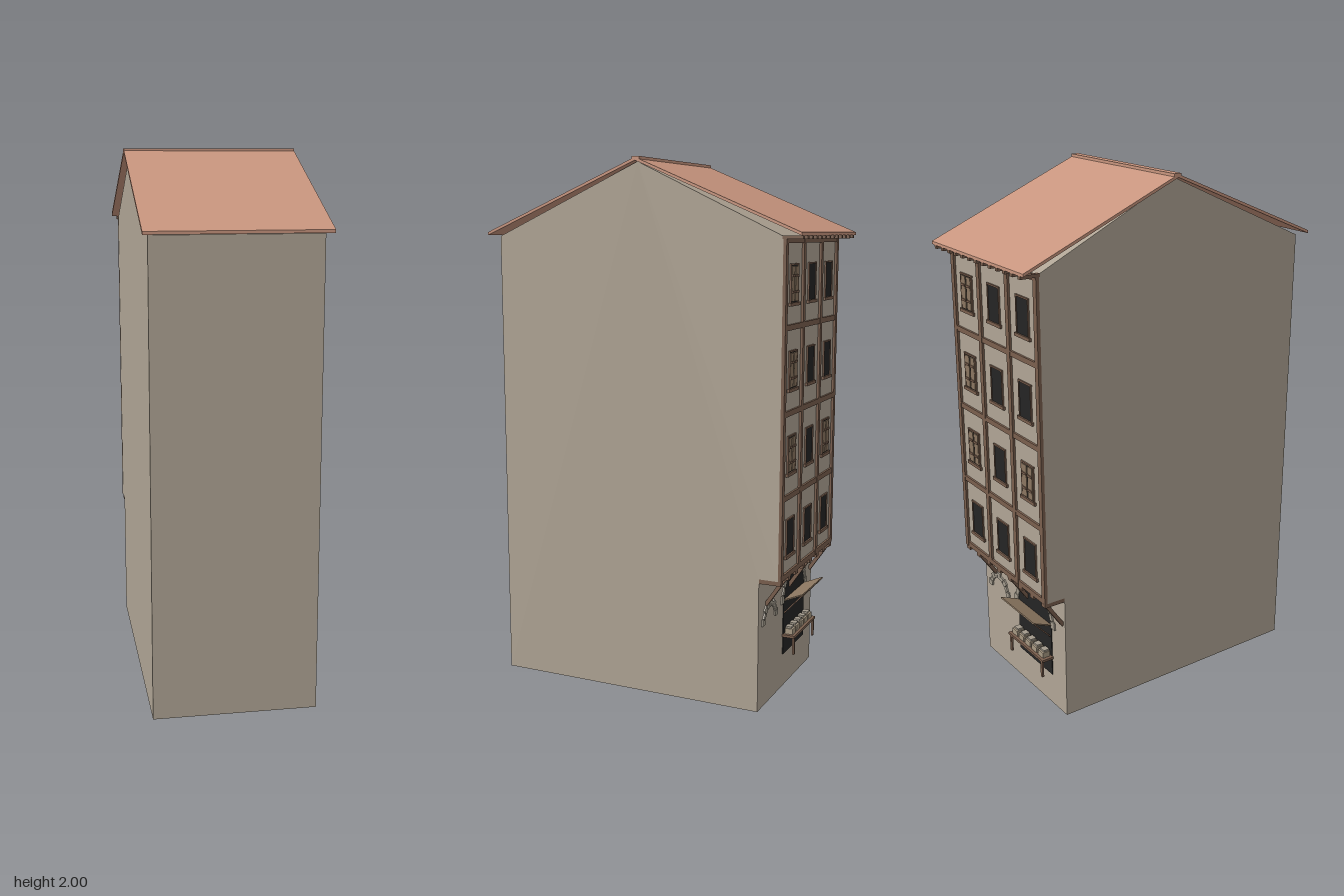
import * as THREE from 'three';

const mat = (name, color) => {
  const m = new THREE.MeshStandardMaterial({ color });
  m.name = name;
  return m;
};

export function createModel() {
  const root = new THREE.Group();
  root.name = 'townHouse';
  const wall = mat('plaster', 0xb0a595);
  const tile = mat('roofTile', 0xc8957e);
  const wood = mat('timber', 0x7a5f4e);
  const plank = mat('plank', 0x8b7660);
  const dark = mat('darkOpening', 0x242424);
  const stone = mat('stone', 0xa29a8c);
  const goods = mat('goods', 0xa89a84);

  const add = (name, geo, material, parent = root) => {
    const m = new THREE.Mesh(geo, material);
    m.name = name;
    parent.add(m);
    return m;
  };
  const box = (name, w, h, d, x, y, z, material, parent) => {
    const m = add(name, new THREE.BoxGeometry(w, h, d), material, parent);
    m.position.set(x, y, z);
    return m;
  };
  // Extrudes a side profile of [z, y] points across the width
  const sideExtrude = (name, pts, halfWidth, material) => {
    const shape = new THREE.Shape(pts.map(p => new THREE.Vector2(p[0], p[1])));
    const geo = new THREE.ExtrudeGeometry(shape, { depth: halfWidth * 2, bevelEnabled: false });
    geo.translate(0, 0, -halfWidth);
    geo.rotateY(-Math.PI / 2);
    return add(name, geo, material);
  };
  // Square bar between two [z, y] points at a given x
  const bar = (name, x, a, b, w, t, material, parent) => {
    const dz = b[0] - a[0], dy = b[1] - a[1];
    const m = box(name, w, t, Math.hypot(dz, dy), x, (a[1] + b[1]) / 2, (a[0] + b[0]) / 2, material, parent);
    m.rotation.x = -Math.atan2(dy, dz);
    return m;
  };

  // Body with the jettied upper floors
  const faceZ = -0.556, shopZ = -0.48;
  sideExtrude('body', [[0.585, 0], [0.585, 1.72], [0, 1.983], [faceZ, 1.72],
    [faceZ, 0.505], [shopZ, 0.505], [shopZ, 0]], 0.3, wall);

  // Roof, ridge and eave rafters
  sideExtrude('roof', [[0.627, 1.724], [0.627, 1.735], [0, 1.997], [-0.625, 1.735],
    [-0.625, 1.724], [0, 1.986]], 0.322, tile);
  box('ridgeCap', 0.644, 0.014, 0.03, 0, 1.993, -0.003, tile);
  for (let i = 0; i < 13; i++) {
    box('rafterTail', 0.016, 0.012, 0.075, -0.294 + i * 0.049, 1.718, -0.587, wood);
  }

  // Timber frame of the facade
  const frame = new THREE.Group();
  frame.name = 'timberFrame';
  root.add(frame);
  for (const x of [-0.29, -0.1, 0.1, 0.29]) {
    box('post', 0.022, 1.215, 0.012, x, 1.1125, faceZ - 0.003, wood, frame);
  }
  for (const y of [0.513, 0.802, 1.105, 1.408, 1.708]) {
    box('rail', 0.602, 0.02, 0.01, 0, y, faceZ - 0.003, wood, frame);
  }

  // Windows, some with closed shutters
  [0.65, 0.953, 1.256, 1.558].forEach((y, row) => {
    [0.197, 0, -0.197].forEach((x, col) => {
      const win = new THREE.Group();
      win.name = 'window';
      win.position.set(x, y, faceZ);
      root.add(win);
      box('opening', 0.074, 0.13, 0.004, 0, 0, -0.001, dark, win);
      box('sill', 0.1, 0.012, 0.014, 0, -0.071, -0.002, wood, win);
      box('lintel', 0.086, 0.006, 0.008, 0, 0.067, -0.002, wood, win);
      for (const s of [-1, 1]) box('jamb', 0.005, 0.13, 0.008, s * 0.039, 0, -0.002, wood, win);
      if ((col === 0 && row > 0) || (col === 2 && row === 1)) {
        for (const s of [-1, 1]) {
          box('shutter', 0.03, 0.122, 0.005, s * 0.019, 0, -0.004, plank, win);
          for (const b of [-1, 1]) box('batten', 0.03, 0.008, 0.004, s * 0.019, b * 0.028, -0.008, wood, win);
        }
      }
    });
  });

  // Jetty joists and braces
  for (let i = 0; i < 8; i++) {
    box('joist', 0.026, 0.02, 0.085, -0.285 + i * 0.0814, 0.498, -0.52, wood);
  }
  for (const x of [-0.28, -0.03, 0.22]) {
    bar('brace', x, [shopZ, 0.388], [-0.55, 0.492], 0.018, 0.014, wood);
  }

  // Ring of wedge stones over an arch
  const stoneArch = (name, x, y, inner, outer, count) => {
    const g = new THREE.Group();
    g.name = name;
    root.add(g);
    for (let i = 0; i < count; i++) {
      const a0 = Math.PI * (i + 0.06) / count, a1 = Math.PI * (i + 0.94) / count;
      const out = outer + (i % 2 ? 0 : 0.008);
      const shape = new THREE.Shape([[inner, a0], [out, a0], [out, a1], [inner, a1]]
        .map(([r, a]) => new THREE.Vector2(Math.cos(a) * r, Math.sin(a) * r)));
      const m = add('archStone', new THREE.ExtrudeGeometry(shape, { depth: 0.008, bevelEnabled: false }), stone, g);
      m.position.set(x, y, shopZ - 0.006);
    }
  };
  stoneArch('doorArch', 0.187, 0.315, 0.056, 0.074, 9);
  const shopX = -0.085;
  stoneArch('shopArch', shopX, 0.335, 0.121, 0.14, 13);

  // Dark shop opening with a round top
  const arch = new THREE.Shape();
  arch.moveTo(-0.12, 0.13);
  arch.lineTo(0.12, 0.13);
  arch.lineTo(0.12, 0.335);
  arch.absarc(0, 0.335, 0.12, 0, Math.PI, false);
  arch.closePath();
  add('shopOpening', new THREE.ExtrudeGeometry(arch, { depth: 0.004, bevelEnabled: false, curveSegments: 12 }), dark)
    .position.set(shopX, 0, shopZ - 0.003);

  // Raised flap with props
  bar('shopFlap', shopX, [shopZ, 0.345], [-0.56, 0.379], 0.245, 0.005, plank);
  for (const s of [-1, 1]) bar('flapProp', shopX + s * 0.11, [shopZ, 0.292], [-0.557, 0.376], 0.006, 0.005, wood);

  // Counter with goods
  box('counterTop', 0.255, 0.01, 0.05, shopX, 0.207, -0.505, wood);
  for (const s of [-1, 1]) box('counterLeg', 0.012, 0.07, 0.008, shopX + s * 0.115, 0.17, -0.524, wood);
  for (let i = 0; i < 5; i++) {
    const x = shopX - 0.096 + i * 0.048;
    box('crate', 0.036, 0.022, 0.032, x, 0.223, -0.503, goods);
    box('crateFill', 0.028, 0.008, 0.024, x, 0.237, -0.5, stone);
  }
  return root;
}
